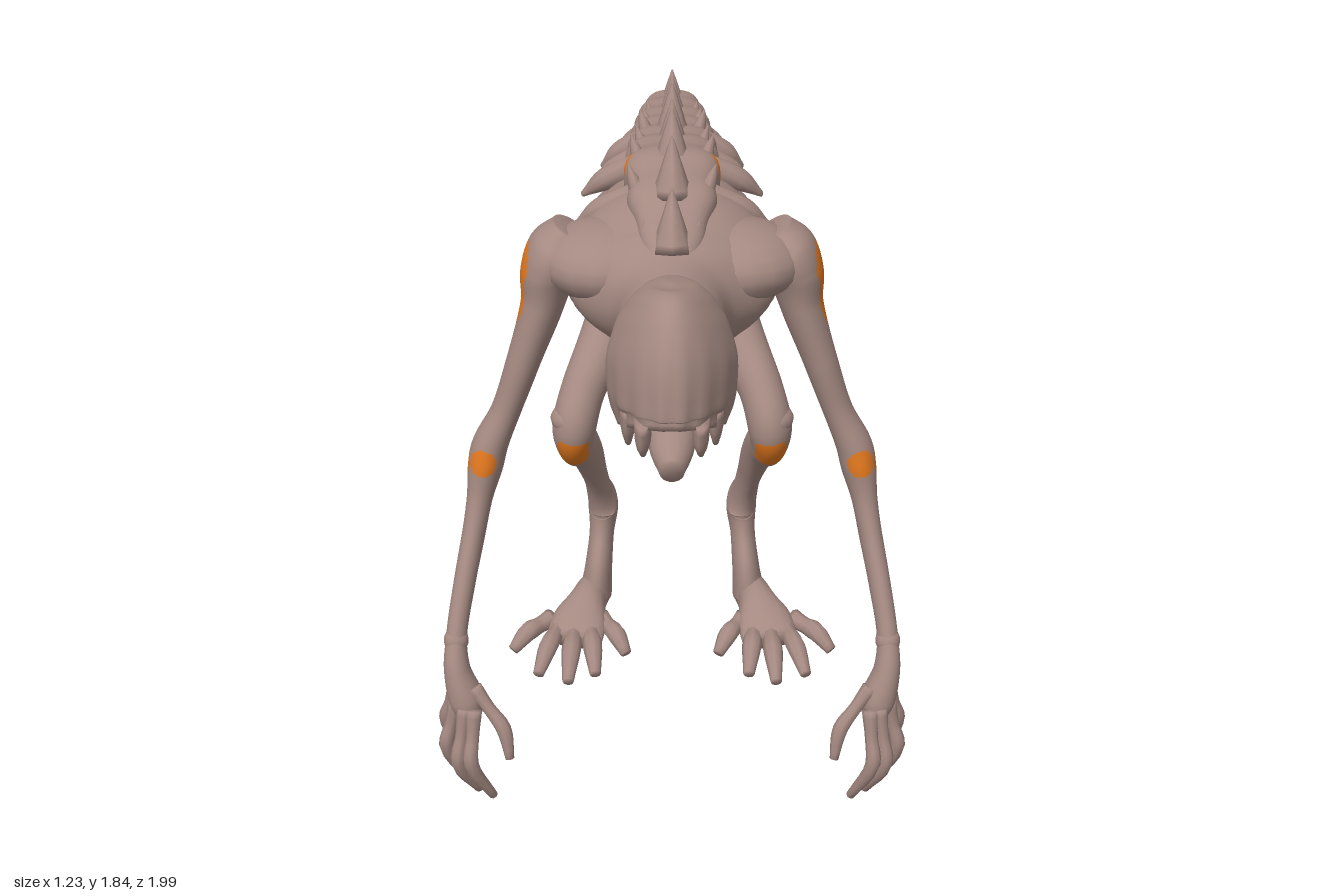
import * as THREE from 'three';

const skin = new THREE.MeshStandardMaterial({ color: 0xa48981 });
skin.name = 'dusty brown skin';
const glow = new THREE.MeshStandardMaterial({ color: 0xe2781f });
glow.name = 'orange patch';

const X = new THREE.Vector3(1, 0, 0);
const step = THREE.MathUtils.smoothstep;

// Smooth skin over rows of [x, y, z, half-width, half-depth].
// shape(c, s, p) reshapes the cross-section; patch(p) picks the orange faces.
function loft(parent, name, rows, { n = 24, seg = 14, shape, patch } = {}) {
  const path = new THREE.CatmullRomCurve3(rows.map(r => new THREE.Vector3(r[0], r[1], r[2])));
  const size = new THREE.CatmullRomCurve3(rows.map(r => new THREE.Vector3(r[3], r[4], 0)), false, 'catmullrom', 0.4);
  const pos = [], faces = [[], []];
  for (let i = 0; i <= n; i++) {
    const p = path.getPoint(i / n), r = size.getPoint(i / n), t = path.getTangent(i / n);
    const side = X.clone().addScaledVector(t, -t.x).normalize();
    const up = t.clone().cross(side);
    for (let j = 0; j < seg; j++) {
      const a = j / seg * Math.PI * 2, c = Math.cos(a), s = Math.sin(a);
      const m = shape ? shape(c, s, p) : [1, 1];
      const v = p.clone().addScaledVector(side, r.x * c * m[0]).addScaledVector(up, r.y * s * m[1]);
      pos.push(v.x, v.y, v.z);
    }
  }
  const first = pos.length / 3;
  const e = rows[rows.length - 1];
  pos.push(...rows[0].slice(0, 3), ...e.slice(0, 3));
  const face = (...ids) => {
    const mid = new THREE.Vector3();
    ids.forEach(k => mid.add(new THREE.Vector3(pos[3 * k], pos[3 * k + 1], pos[3 * k + 2])));
    faces[patch && patch(mid.divideScalar(3)) ? 1 : 0].push(...ids);
  };
  for (let j = 0; j < seg; j++) {
    const k = (j + 1) % seg, top = n * seg;
    for (let i = 0; i < n; i++) {
      const a = i * seg + j, b = i * seg + k;
      face(a, b, b + seg);
      face(a, b + seg, a + seg);
    }
    face(first, k, j);
    face(first + 1, top + j, top + k);
  }
  const g = new THREE.BufferGeometry();
  g.setAttribute('position', new THREE.Float32BufferAttribute(pos, 3));
  g.setIndex([...faces[0], ...faces[1]]);
  g.addGroup(0, faces[0].length, 0);
  if (faces[1].length) g.addGroup(faces[0].length, faces[1].length, 1);
  g.computeVertexNormals();
  const mesh = new THREE.Mesh(g, [skin, glow]);
  mesh.name = name;
  parent.add(mesh);
}

function lump(parent, name, x, y, z, a, b, c) {
  const m = new THREE.Mesh(new THREE.SphereGeometry(1, 18, 12), skin);
  m.position.set(x, y, z);
  m.scale.set(a, b, c);
  m.name = name;
  parent.add(m);
}

const oval = (p, y, z, ry, rz) => ((p.y - y) / ry) ** 2 + ((p.z - z) / rz) ** 2 < 1;
const ball = (p, x, y, z, r) => Math.hypot(Math.abs(p.x) - x, p.y - y, p.z - z) < r;

function buildTorso(g) {
  // ribbed trunk, tail end to neck
  loft(g, 'torso', [
    [0, 1.46, -0.95, 0.045, 0.06], [0, 1.42, -0.87, 0.105, 0.14], [0, 1.36, -0.7, 0.17, 0.23],
    [0, 1.34, -0.5, 0.185, 0.26], [0, 1.36, -0.3, 0.2, 0.285], [0, 1.39, -0.1, 0.222, 0.28],
    [0, 1.44, 0.1, 0.25, 0.255], [0, 1.48, 0.25, 0.265, 0.22], [0, 1.49, 0.4, 0.24, 0.165],
    [0, 1.49, 0.51, 0.14, 0.135], [0, 1.49, 0.6, 0.125, 0.125], [0, 1.49, 0.72, 0.115, 0.12],
  ], {
    n: 150, seg: 44,
    shape: (c, s, p) => {
      const ribs = step(p.z, -0.52, -0.4) * (1 - step(p.z, 0.2, 0.35));
      const wave = Math.abs(Math.sin((p.z + 0.1 * s * s - 0.04 * s) * Math.PI / 0.115));
      const k = 1 + ribs * 0.12 * (Math.sqrt(wave) - 0.72) * (s > 0.75 ? 0.2 : 1);
      return [k * (s < 0 ? 1 - 0.28 * s * s : 1), s < 0 ? 1 + (k - 1) * 0.4 : 1];
    },
  });
  lump(g, 'pelvis', 0, 1.16, -0.6, 0.13, 0.16, 0.17);

  // knobbly backbone with orange pits
  const pits = [[1.708, 0.105], [1.675, -0.06], [1.645, -0.22], [1.624, -0.37], [1.605, -0.52], [1.592, -0.65], [1.565, -0.78]];
  loft(g, 'backbone', [
    [0, 1.45, -0.97, 0.025, 0.03], [0, 1.53, -0.88, 0.055, 0.06], [0, 1.565, -0.72, 0.085, 0.065],
    [0, 1.6, -0.5, 0.1, 0.065], [0, 1.625, -0.3, 0.11, 0.07], [0, 1.66, -0.05, 0.115, 0.075],
    [0, 1.685, 0.12, 0.115, 0.07], [0, 1.655, 0.3, 0.1, 0.06], [0, 1.57, 0.5, 0.05, 0.05],
  ], {
    n: 190, seg: 52,
    shape: (c, s, p) => {
      const k = (Math.abs(c) ** 3 + Math.abs(s) ** 3) ** (-1 / 3) * (1 + 0.05 * Math.cos((p.z + 0.03) * Math.PI * 2 / 0.15));
      return [k, k];
    },
    patch: p => Math.abs(p.x) > 0.045 && pits.some(([y, z]) => oval(p, y, z, 0.031 + z * 0.008, 0.034 + z * 0.01)),
  });

  // backward-curving spines, each with low side ridges and a small upper barb: [tip y, tip z, reach]
  [[1.745, 0.36, 0.15], [1.82, 0.2, 0.24], [1.84, 0.04, 0.23], [1.81, -0.12, 0.205], [1.805, -0.27, 0.19], [1.76, -0.42, 0.175],
    [1.735, -0.56, 0.155], [1.69, -0.69, 0.14], [1.675, -0.82, 0.1], [1.6, -0.93, 0.06]].forEach(([y, z, w]) => {
    loft(g, 'spine spike', [
      [0, y - 0.13, z + 0.08, 0.055, 0.07], [0, y - 0.07, z + 0.065, 0.032, 0.042],
      [0, y - 0.03, z + 0.035, 0.016, 0.022], [0, y, z, 0.002, 0.002]], { n: 8, seg: 8 });
    for (const s of [1, -1]) {
      loft(g, 'side ridge', [
        [s * w * 0.35, y - 0.155, z - 0.01, 0.035, 0.03], [s * w * 0.75, y - 0.195, z - 0.015, 0.028, 0.03],
        [s * w, y - 0.24, z - 0.03, 0.006, 0.01]], { n: 10, seg: 10 });
      loft(g, 'upper barb', [
        [s * w * 0.34, y - 0.13, z + 0.05, 0.022, 0.03], [s * w * 0.4, y - 0.095, z + 0.035, 0.014, 0.018],
        [s * w * 0.45, y - 0.07, z + 0.005, 0.002, 0.002]], { n: 6, seg: 8 });
    }
  });
  // stubby tail
  loft(g, 'tail', [[0, 1.53, -0.88, 0.05, 0.06], [0, 1.46, -0.95, 0.035, 0.04], [0, 1.38, -0.998, 0.003, 0.003]], { n: 10, seg: 10 });
}

function buildHead(g) {
  // hood-like skull with vertical folds, narrowing to the front
  loft(g, 'head', [
    [0, 1.662, 0.72, 0.015, 0.03], [0, 1.652, 0.722, 0.06, 0.105], [0, 1.62, 0.733, 0.098, 0.165], [0, 1.57, 0.75, 0.128, 0.193],
    [0, 1.5, 0.772, 0.147, 0.208], [0, 1.43, 0.785, 0.145, 0.208], [0, 1.39, 0.792, 0.138, 0.203], [0, 1.345, 0.81, 0.12, 0.185],
  ], {
    n: 40, seg: 56,
    shape: (c, s, p) => {
      const fold = 1 + 0.025 * Math.cos(Math.atan2(s, c) * 14) * step(1.6 - p.y, 0, 0.25);
      return [fold * (1 - 0.25 * Math.max(0, s)), fold];
    },
  });
  // ragged flaps along the sides of the hem: [angle, hem height]
  for (const s of [1, -1]) {
    for (const [a, y] of [[-0.3, 1.3], [0.2, 1.315], [0.75, 1.325]]) {
      const x = s * 0.106 * Math.cos(a) * (1 - 0.25 * Math.max(0, Math.sin(a))), z = 0.8 + 0.16 * Math.sin(a);
      loft(g, 'hem flap', [[x, 1.41, z, 0.02, 0.06], [x, 1.355, z, 0.018, 0.05],
        [x, y, z, 0.008, 0.025]], { n: 6, seg: 10 });
    }
  }
  loft(g, 'jaw', [[0, 1.39, 0.66, 0.07, 0.035], [0, 1.345, 0.76, 0.065, 0.05], [0, 1.305, 0.87, 0.05, 0.045],
    [0, 1.28, 0.925, 0.028, 0.032]], { n: 14 });
}

function digit(g, name, s, pts, r) {
  const k = [1, 0.8, 0.95, 0.55];
  const mid = pts[0].map((v, i) => (v + pts[1][i]) / 2);
  loft(g, name, [pts[0], mid, pts[1], pts[2]].map((p, i) => [s * p[0], p[1], p[2], r * k[i], r * k[i]]), { n: 12, seg: 8 });
}

function buildArm(g, s) {
  lump(g, 'shoulder blade', s * 0.16, 1.545, 0.31, 0.165, 0.095, 0.165);
  loft(g, 'arm', [
    [.25, 1.615, .275, .045, .07], [.282, 1.56, .28, .072, .115], [.305, 1.5, .285, .07, .112], [.322, 1.42, .3, .054, .085],
    [.37, 1.28, .32, .043, .06], [.42, 1.14, .325, .038, .05], [.465, 1.04, .33, .046, .06], [.478, .985, .335, .045, .062],
    [.495, .9, .36, .033, .045], [.51, .82, .385, .03, .046], [.535, .7, .45, .028, .038], [.555, .58, .51, .027, .033],
    [.555, .5, .54, .034, .042], [.535, .42, .555, .045, .05], [.525, .37, .56, .032, .042],
  ].map(([x, ...r]) => [s * x, ...r]), {
    n: 150, seg: 40,
    patch: p => (oval(p, 1.525, .29, .06, .068) || oval(p, 1.45, .305, .075, .045)) && Math.abs(p.x) > .31
      || oval(p, .995, .325, .042, .04) && Math.abs(p.x) > .48 || ball(p, .48, 1.015, .385, .036),
  });
  lump(g, 'elbow', s * .465, 1.03, .3, .042, .038, .035);
  lump(g, 'wrist', s * .556, .57, .515, .032, .035, .034);
  [[[.565, .43, .52], [.595, .32, .5], [.58, .2, .47]], [[.56, .41, .56], [.59, .28, .57], [.555, .16, .53]],
    [[.535, .41, .59], [.555, .26, .62], [.51, .14, .57]], [[.51, .41, .6], [.52, .27, .64], [.47, .14, .6]],
    [[.51, .46, .57], [.435, .36, .61], [.42, .28, .63]]].forEach(f => digit(g, 'finger', s, f, .021));
}

function buildLeg(g, s) {
  loft(g, 'leg', [
    [.07, 1.43, -.82, .045, .08], [.09, 1.33, -.79, .075, .14], [.122, 1.2, -.67, .076, .14], [.158, 1.08, -.49, .078, .095],
    [.205, .98, -.385, .073, .08], [.255, .89, -.3, .064, .075], [.28, .8, -.262, .064, .085], [.282, .74, -.29, .056, .08],
    [.265, .68, -.37, .048, .07], [.25, .6, -.45, .044, .068], [.235, .5, -.52, .036, .062], [.225, .42, -.56, .038, .06],
    [.215, .35, -.59, .046, .088], [.22, .27, -.56, .038, .066], [.23, .17, -.52, .042, .078], [.24, .08, -.51, .05, .085],
  ].map(([x, ...r]) => [s * x, ...r]), {
    n: 160, seg: 40,
    patch: p => (oval(p, 1.25, -.735, .064, .062) || oval(p, 1.18, -.67, .033, .075)) && Math.abs(p.x) > .12
      || ball(p, .285, .735, -.235, .063) && Math.abs(p.x) > .24 && Math.abs(p.x) < .328,
  });
  lump(g, 'kneecap', s * .282, .825, -.25, .066, .045, .065);
  // long flat foot with splayed toes
  loft(g, 'foot', [[.235, .055, -.605, .035, .042], [.24, .07, -.55, .05, .06], [.26, .085, -.45, .055, .072],
    [.285, .068, -.36, .085, .052], [.3, .045, -.28, .085, .03]].map(([x, ...r]) => [s * x, ...r]), { n: 20, seg: 18 });
  [[.14, -.25], [.23, -.14], [.31, -.1], [.4, -.14], [.485, -.27]].forEach(([x, z], i) => {
    const bx = .22 + i * .038;
    digit(g, 'toe', s, [[bx, .065, -.38], [bx + (x - bx) * .6, .058, -.38 + (z + .38) * .6], [x, .02, z]], .031);
  });
}

export function createModel() {
  const model = new THREE.Group();
  model.name = 'creature';
  const part = (name, build, ...args) => {
    const g = new THREE.Group();
    g.name = name;
    build(g, ...args);
    model.add(g);
  };
  part('body', buildTorso);
  part('headGroup', buildHead);
  for (const [side, s] of [['left', 1], ['right', -1]]) {
    part(side + 'Arm', buildArm, s);
    part(side + 'Leg', buildLeg, s);
  }
  return model;
}
